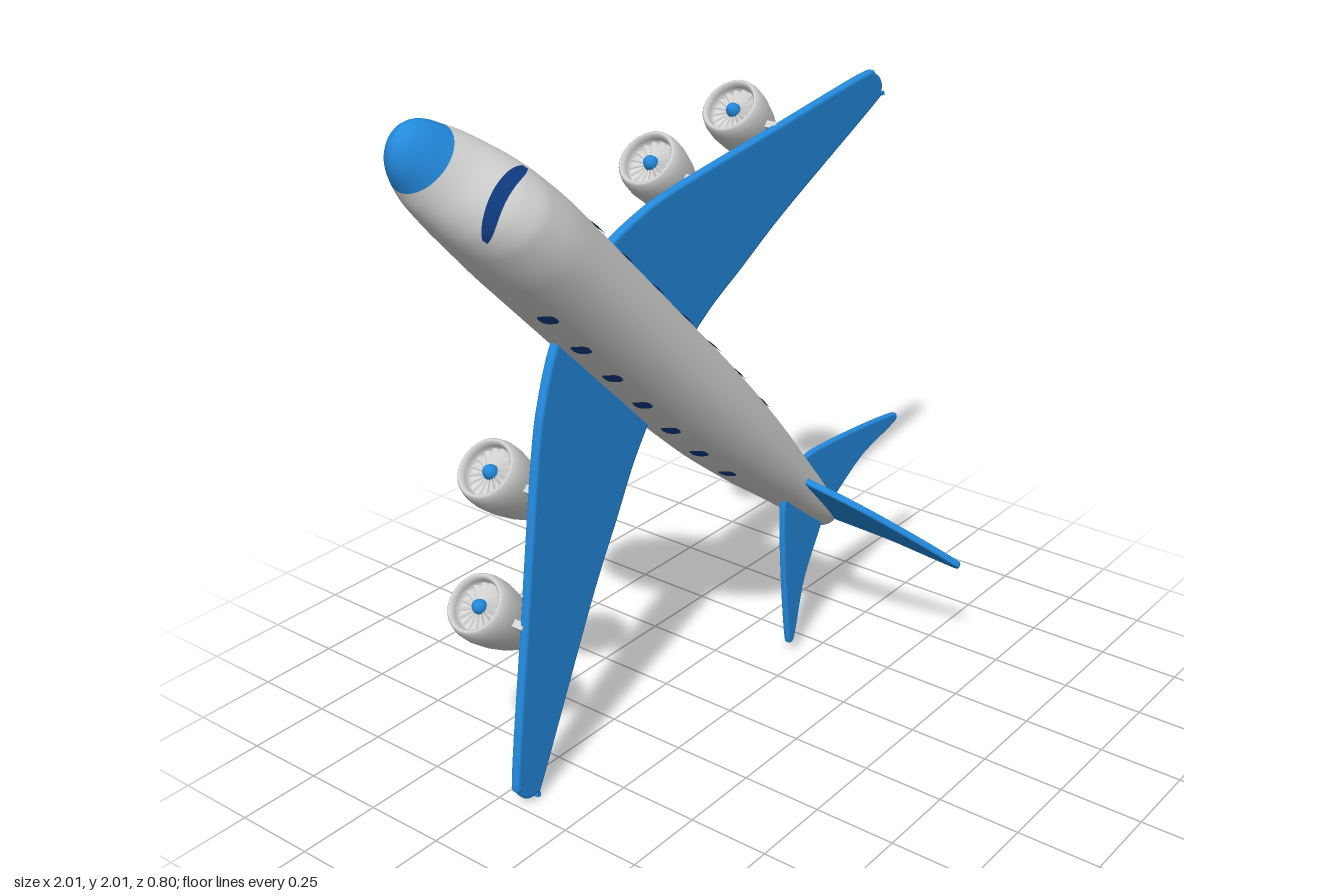
import * as THREE from 'three';

const mat = (name, color, side = THREE.FrontSide) => {
  const m = new THREE.MeshStandardMaterial({ color, side });
  m.name = name;
  return m;
};

// Fuselage stations from tail to nose: [position, top, bottom, half width]
const STATIONS = [
  [-0.872, -0.08, -0.081, 0.001], [-0.865, -0.045, -0.115, 0.03], [-0.83, -0.02, -0.14, 0.05],
  [-0.7, 0, -0.18, 0.07], [-0.55, 0.012, -0.225, 0.09], [-0.35, 0.023, -0.28, 0.118],
  [-0.12, 0.031, -0.325, 0.138], [0.1, 0.034, -0.34, 0.145], [0.5, 0.034, -0.34, 0.145],
  [0.9, 0.034, -0.34, 0.145], [1.05, 0.018, -0.34, 0.138], [1.12, -0.012, -0.337, 0.132],
  [1.17, -0.05, -0.331, 0.125], [1.23, -0.1, -0.321, 0.114], [1.28, -0.132, -0.31, 0.098],
  [1.33, -0.16, -0.287, 0.078], [1.365, -0.185, -0.26, 0.049], [1.38, -0.207, -0.236, 0.022],
  [1.385, -0.221, -0.222, 0.001],
];

// Smooth interpolation between stations
function station(l) {
  const S = STATIONS, n = S.length;
  let i = 0;
  while (i < n - 2 && l > S[i + 1][0]) i++;
  const h = S[i + 1][0] - S[i][0];
  const t = THREE.MathUtils.clamp((l - S[i][0]) / h, 0, 1);
  const slope = (k, c) => {
    const a = S[Math.max(k - 1, 0)], b = S[k], d = S[Math.min(k + 1, n - 1)];
    if (a === b || b === d) return (S[i + 1][c] - S[i][c]) / h;
    const s0 = (b[c] - a[c]) / (b[0] - a[0]), s1 = (d[c] - b[c]) / (d[0] - b[0]);
    return s0 * s1 <= 0 ? 0 : (2 * s0 * s1) / (s0 + s1);
  };
  return [1, 2, 3].map((c) => {
    const t2 = t * t, t3 = t2 * t;
    return (2 * t3 - 3 * t2 + 1) * S[i][c] + (t3 - 2 * t2 + t) * h * slope(i, c)
      + (3 * t2 - 2 * t3) * S[i + 1][c] + (t3 - t2) * h * slope(i + 1, c);
  });
}

// Point on the skin; angle 0 is the top, positive toward +x
function skin(l, angle, lift = 0) {
  const [top, bottom, hw] = station(l);
  return [(hw + lift) * Math.sin(angle), l,
    (top + bottom) / 2 + ((top - bottom) / 2 + lift) * Math.cos(angle)];
}

function fuselageGeometry() {
  const seg = 48, step = 5, pos = [], index = [], ls = [];
  STATIONS.forEach((s, i) => {
    const next = STATIONS[i + 1];
    if (!next) return ls.push(s[0]);
    for (let k = 0; k < step; k++) ls.push(s[0] + ((next[0] - s[0]) * k) / step);
  });
  ls.forEach((l) => {
    for (let j = 0; j < seg; j++) pos.push(...skin(l, (j / seg) * Math.PI * 2));
  });
  for (let i = 0; i < ls.length - 1; i++) for (let j = 0; j < seg; j++) {
    const a = i * seg + j, b = i * seg + ((j + 1) % seg);
    index.push(a, b, a + seg, b, b + seg, a + seg);
  }
  const g = new THREE.BufferGeometry();
  g.setAttribute('position', new THREE.Float32BufferAttribute(pos, 3));
  g.setIndex(index);
  g.computeVertexNormals();
  const split = 14 * step * seg * 6;
  g.addGroup(0, split, 0);
  g.addGroup(split, index.length - split, 1);
  return g;
}

// Lay a flat geometry onto the skin: map(x, y) gives [position, angle]
function onSkin(geometry, lift, map) {
  const p = geometry.attributes.position;
  for (let i = 0; i < p.count; i++) {
    const [l, a] = map(p.getX(i), p.getY(i));
    p.setXYZ(i, ...skin(l, a, lift));
  }
  geometry.computeVertexNormals();
  return geometry;
}

// Thin rounded-edge plate with a splined outline, centred on its own z = 0
function plate(points, thickness) {
  const shape = new THREE.Shape();
  shape.moveTo(...points[0]);
  shape.lineTo(...points[1]);
  shape.splineThru(points.slice(2).map((p) => new THREE.Vector2(...p)));
  shape.closePath();
  const b = thickness * 0.32;
  const g = new THREE.ExtrudeGeometry(shape, {
    depth: thickness - 2 * b, bevelThickness: b, bevelSize: b, bevelOffset: -b,
    bevelSegments: 3, curveSegments: 48,
  });
  return g.translate(0, 0, -(thickness - 2 * b) / 2);
}

export function createModel() {
  const white = mat('light grey paint', 0xd4d4d2);
  const blue = mat('blue paint', 0x2389dc);
  const navy = mat('dark blue glass', 0x0f3c82, THREE.DoubleSide);

  const plane = new THREE.Group();
  plane.name = 'airplane';
  const add = (name, geometry, material, parent = plane) => {
    const m = new THREE.Mesh(geometry, material);
    m.name = name;
    parent.add(m);
    return m;
  };

  add('fuselage', fuselageGeometry(), [white, blue]);

  // Curved windshield band
  add('windshield', onSkin(new THREE.PlaneGeometry(2, 1, 32, 4), 0.007, (x, y) =>
    [1.172 - 0.05 * x * x + y * 0.03 * (1 - 0.5 * x ** 6), x * 0.86]), navy);

  const wing = [[0, 0.1], [0, 0.625], [0.14, 0.608], [0.28, 0.55], [0.43, 0.457], [0.8, 0.182],
    [1.17, -0.094], [1.21, -0.145], [1.215, -0.188], [1.19, -0.217], [1.148, -0.217],
    [0.648, -0.043], [0.414, 0.025], [0.255, 0.072], [0.127, 0.095]];
  const stabilizer = [[0, -0.8], [0, -0.53], [0.081, -0.551], [0.187, -0.656], [0.327, -0.819],
    [0.41, -0.925], [0.418, -0.948], [0.402, -0.956], [0.361, -0.936], [0.221, -0.855], [0.051, -0.807]];

  for (const side of [1, -1]) {
    const label = side > 0 ? 'left' : 'right';
    const mirror = (pts) => pts.map(([x, y]) => [x * side, y]);
    add(label + 'Wing', plate(mirror(wing), 0.03), blue).position.z = -0.174;
    add(label + 'Stabilizer', plate(mirror(stabilizer), 0.022), blue).position.z = -0.05;

    // Cabin windows
    const soft = (v) => Math.sign(v) * Math.abs(v) ** 0.65;
    for (let i = 0; i < 7; i++) {
      add(label + 'Window', onSkin(new THREE.CircleGeometry(1, 24), 0.004, (x, y) =>
        [0.771 - i * 0.17 + 0.021 * soft(x), side * (1.2 + 0.15 * soft(y))]), navy);
    }

    // Engines: nacelle, fan, hub and pylon
    for (const [x, lip] of [[0.49, 0.47], [0.81, 0.25]]) {
      const engine = new THREE.Group();
      engine.name = label + 'Engine';
      engine.position.set(x * side, lip, -0.305);
      plane.add(engine);
      const profile = [[0, -0.24], [0.025, -0.24], [0.028, -0.268], [0.036, -0.272], [0.044, -0.268],
        [0.054, -0.245], [0.072, -0.195], [0.088, -0.13], [0.096, -0.07], [0.095, -0.03],
        [0.089, -0.007], [0.082, 0], [0.075, -0.007], [0.072, -0.02], [0.071, -0.05], [0, -0.05]];
      add('nacelle', new THREE.LatheGeometry(profile.map((p) => new THREE.Vector2(...p)), 36), white, engine);
      add('exhaustCone', new THREE.ConeGeometry(0.014, 0.025, 16).rotateX(Math.PI)
        .translate(0, -0.25, 0), white, engine);
      for (let k = 0; k < 16; k++) {
        add('fanBlade', new THREE.BoxGeometry(0.056, 0.004, 0.014).rotateX(0.7)
          .translate(0.043, -0.037, 0).rotateY((k / 16) * Math.PI * 2), white, engine);
      }
      add('fanHub', new THREE.SphereGeometry(0.022, 20, 12).scale(1, 1.3, 1)
        .translate(0, -0.035, 0), blue, engine);
      add('pylon', new THREE.BoxGeometry(0.022, 0.12, 0.05).translate(0, -0.135, 0.105), white, engine);
    }
  }

  // Upright tail fin, outlined along the body and upward
  const fin = [[-0.82, -0.06], [-0.5, -0.03], [-0.525, 0.016], [-0.636, 0.164], [-0.786, 0.296],
    [-0.913, 0.385], [-0.945, 0.394], [-0.957, 0.375], [-0.928, 0.296], [-0.877, 0.164], [-0.848, -0.01]];
  const upright = new THREE.Matrix4().makeBasis(
    new THREE.Vector3(0, 1, 0), new THREE.Vector3(0, 0, 1), new THREE.Vector3(1, 0, 0));
  add('tailFin', plate(fin, 0.022).applyMatrix4(upright), blue);

  // Point the nose up and to the side
  plane.rotation.z = Math.PI / 4;
  plane.position.y = 1;
  const model = new THREE.Group();
  model.name = 'model';
  model.add(plane);
  return model;
}
